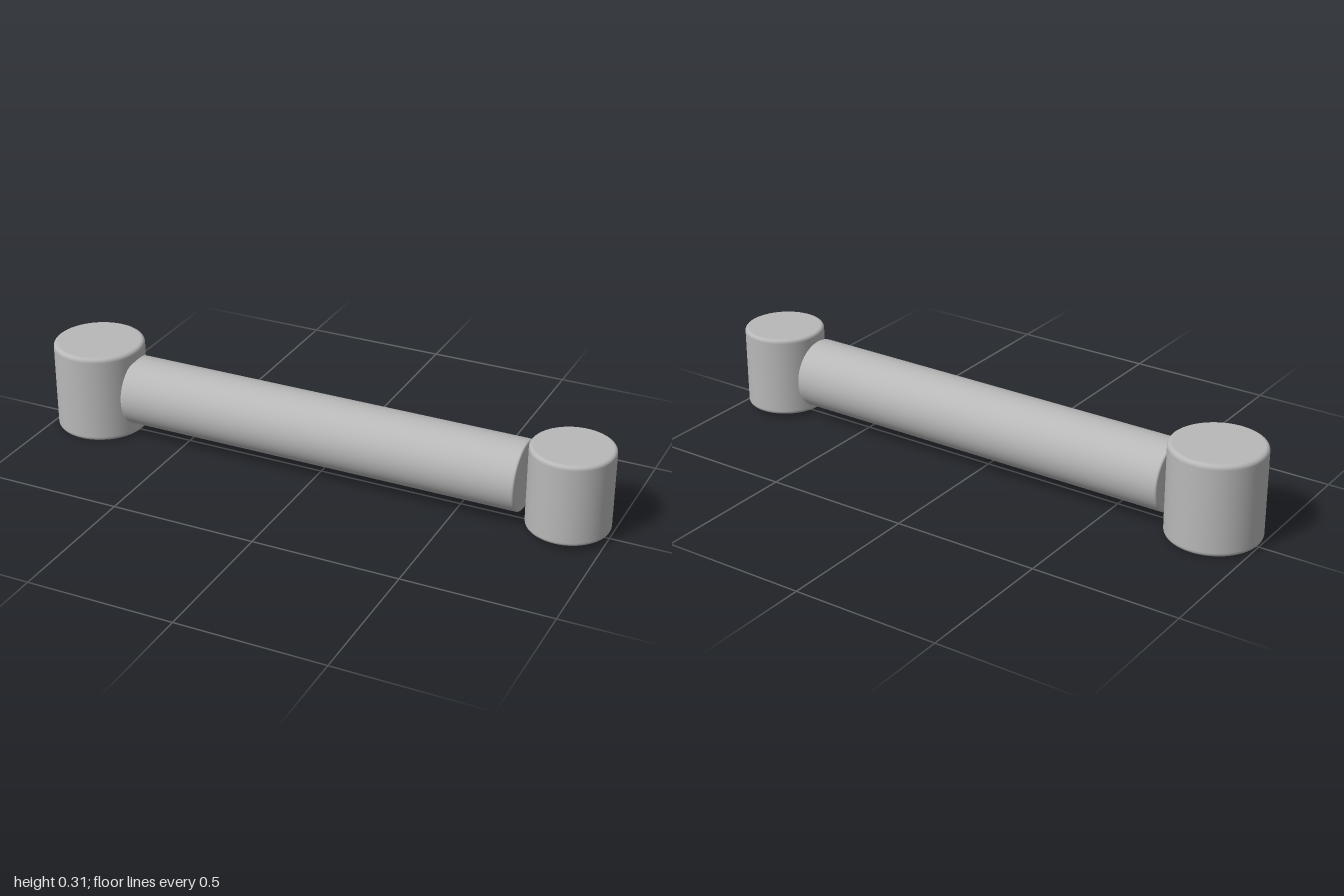
import * as THREE from 'three';

// Solid cylinder along y, centred on the origin, with filleted rims
function filletedCylinder(radius, height, fillet) {
  const h = height / 2, e = 0.002, steps = 6;
  const points = [new THREE.Vector2(0, -h), new THREE.Vector2(radius - fillet - e, -h)];
  for (const side of [-1, 1]) {
    for (let i = 0; i <= steps; i++) {
      const a = (side < 0 ? i - steps : i) / steps * Math.PI / 2;
      points.push(new THREE.Vector2(
        radius - fillet + fillet * Math.cos(a),
        side * (h - fillet) + fillet * Math.sin(a)));
    }
    // support rings keep the wall shading straight
    if (side < 0) points.push(new THREE.Vector2(radius, -h + fillet + e), new THREE.Vector2(radius, h - fillet - e));
  }
  points.push(new THREE.Vector2(radius - fillet - e, h), new THREE.Vector2(0, h));
  return new THREE.LatheGeometry(points, 96);
}

export function createModel() {
  const group = new THREE.Group();
  const grey = new THREE.MeshStandardMaterial({ color: 0xb8b8b8 });
  grey.name = 'grey';
  const midY = 0.156;

  const add = (name, geometry, x) => {
    const mesh = new THREE.Mesh(geometry, grey);
    mesh.name = name;
    mesh.position.set(x, midY, 0);
    group.add(mesh);
    return mesh;
  };

  // Upright bosses at both ends
  add('largeEndBoss', filletedCylinder(0.156, 0.312, 0.014), -0.844);
  add('smallEndBoss', filletedCylinder(0.137, 0.282, 0.012), 0.863);

  // Round bar between them, stopping just short of the small boss
  const start = -0.7, end = 0.716;
  const bar = add('connectingBar', filletedCylinder(0.118, end - start, 0.007), (start + end) / 2);
  bar.rotation.z = -Math.PI / 2;

  return group;
}
